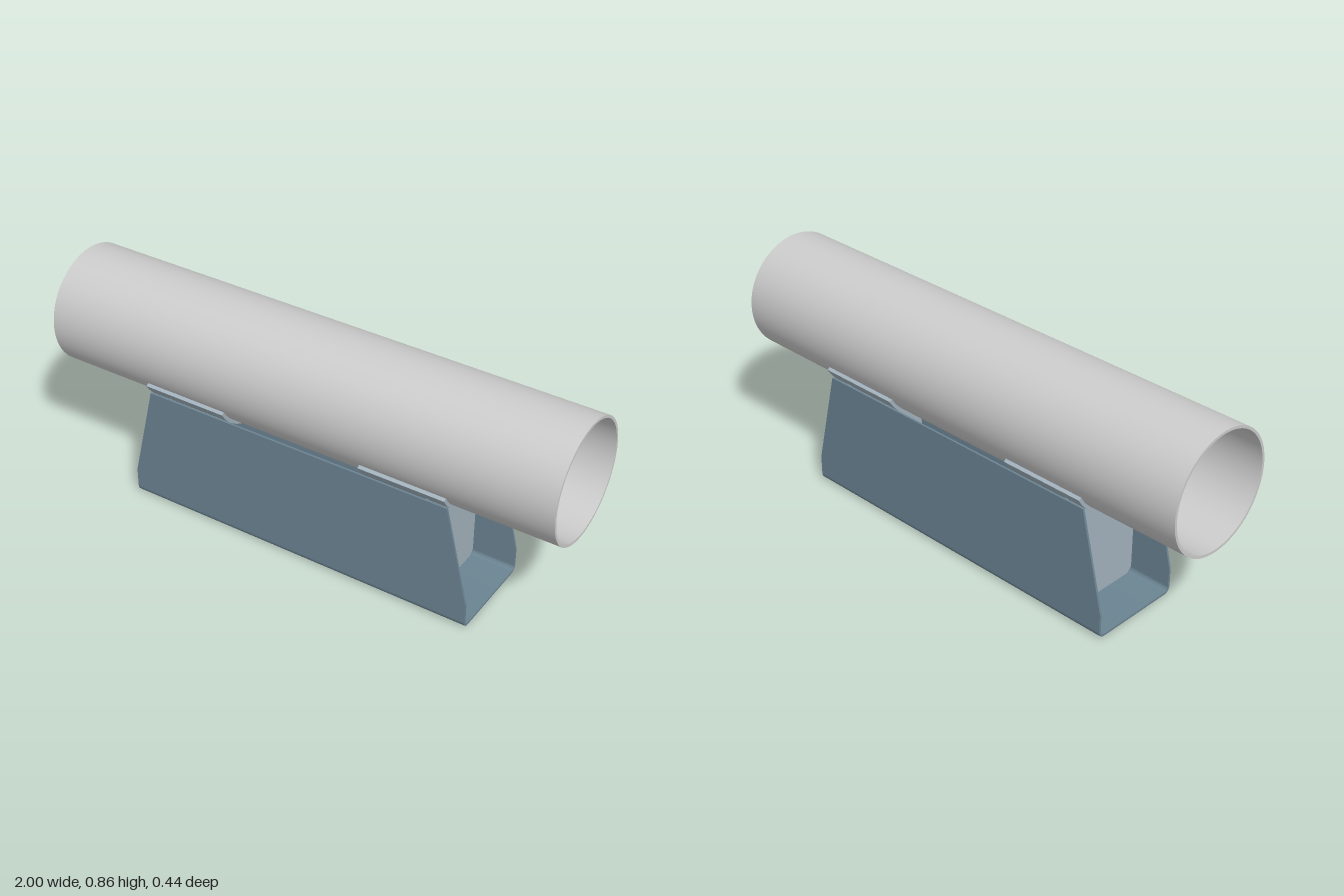
import * as THREE from 'three';
import { toCreasedNormals } from 'three/addons/utils/BufferGeometryUtils.js';

const PIPE_Y = 0.635, PIPE_R = 0.222, PIPE_INNER = 0.212, PAD_R = 0.235;
const HALF_W = 0.183, WALL = 0.008, WALL_TOP = 0.475, BEND = 0.025;
const DOWN = -Math.PI / 2;

const pipeMat = new THREE.MeshStandardMaterial({ color: 0xcccccc });
const channelMat = new THREE.MeshStandardMaterial({ color: 0x6b8492 });
const plateMat = new THREE.MeshStandardMaterial({ color: 0xa2b2bc });

// Extrudes a cross-section along x, centred on the given x
function extrudeX(name, shape, length, x, material, curveSegments = 48) {
  const geo = new THREE.ExtrudeGeometry(shape, { depth: length, bevelEnabled: false, curveSegments });
  geo.translate(0, 0, -length / 2).rotateY(Math.PI / 2);
  const mesh = new THREE.Mesh(toCreasedNormals(geo, 0.5), material);
  mesh.name = name;
  mesh.position.x = x;
  return mesh;
}

function pipeShape() {
  const s = new THREE.Shape().absarc(0, PIPE_Y, PIPE_R, 0, Math.PI * 2, false);
  s.holes.push(new THREE.Path().absarc(0, PIPE_Y, PIPE_INNER, 0, Math.PI * 2, true));
  return s;
}

// Curved strip hugging the underside of the pipe
function padShape() {
  const a = Math.PI / 3;
  const s = new THREE.Shape();
  s.absarc(0, PIPE_Y, PAD_R, DOWN - a, DOWN + a, false);
  s.absarc(0, PIPE_Y, PIPE_R, DOWN + a, DOWN - a, true);
  s.closePath();
  return s;
}

// Cross plate with clipped lower corners and a cradle cut in the top
function plateShape() {
  const w = HALF_W - WALL, a = Math.asin(w / PAD_R);
  const s = new THREE.Shape();
  s.moveTo(-w, 0.028);
  s.lineTo(-w + 0.02, WALL);
  s.lineTo(w - 0.02, WALL);
  s.lineTo(w, 0.028);
  s.absarc(0, PIPE_Y, PAD_R, DOWN + a, DOWN - a, true);
  s.closePath();
  return s;
}

// Folded bottom of the channel with rounded bends
function floorShape() {
  const c = HALF_W - BEND, r = BEND - WALL;
  const s = new THREE.Shape();
  s.absarc(-c, BEND, BEND, Math.PI, Math.PI * 1.5, false);
  s.absarc(c, BEND, BEND, DOWN, 0, false);
  s.absarc(c, BEND, r, 0, DOWN, true);
  s.absarc(-c, BEND, r, Math.PI * 1.5, Math.PI, true);
  s.closePath();
  return s;
}

// Side wall with sloping ends
function wallGeometry() {
  const s = new THREE.Shape([
    [-0.695, BEND], [0.695, BEND], [0.695, 0.1],
    [0.605, WALL_TOP], [-0.605, WALL_TOP], [-0.695, 0.1],
  ].map(([x, y]) => new THREE.Vector2(x, y)));
  return new THREE.ExtrudeGeometry(s, { depth: WALL, bevelEnabled: false })
    .translate(0, 0, -WALL / 2);
}

export function createModel() {
  const model = new THREE.Group();
  model.name = 'pipeSupport';
  model.add(extrudeX('pipe', pipeShape(), 2, 0, pipeMat));

  // Folded channel
  const channel = new THREE.Group();
  channel.name = 'channel';
  channel.add(extrudeX('channelFloor', floorShape(), 1.39, 0, channelMat, 8));
  const wall = wallGeometry();
  for (const side of [1, -1]) {
    const mesh = new THREE.Mesh(wall, channelMat);
    mesh.name = side > 0 ? 'frontWall' : 'backWall';
    mesh.position.z = side * (HALF_W - WALL / 2);
    channel.add(mesh);
  }
  model.add(channel);

  // Saddle pad and cross plate near each end
  for (const side of [1, -1]) {
    const label = side > 0 ? 'left' : 'right';
    model.add(extrudeX(label + 'SaddlePad', padShape(), 0.33, side * 0.44, plateMat));
    model.add(extrudeX(label + 'CrossPlate', plateShape(), 0.01, side * 0.525, plateMat));
  }
  return model;
}
